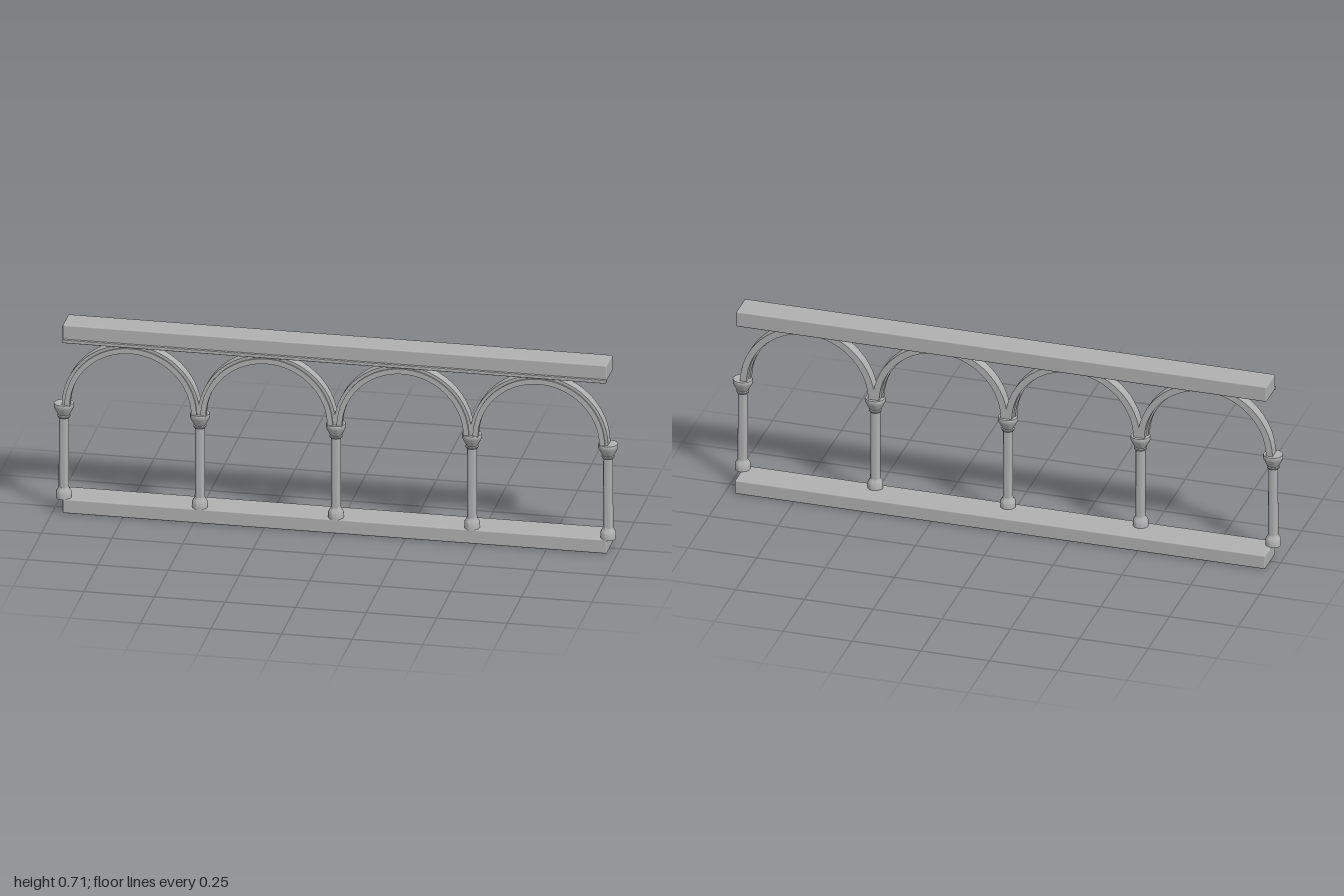
import * as THREE from 'three';
import { toCreasedNormals } from 'three/addons/utils/BufferGeometryUtils.js';
import { RoundedBoxGeometry } from 'three/addons/geometries/RoundedBoxGeometry.js';

const SPACING = 0.482;   // distance between columns
const COLUMN_Z = 0.031;  // columns and arches stand forward of the rails' middle
const SPRING_Y = 0.402;  // height where the arches start

export function createModel() {
  const group = new THREE.Group();
  const stone = new THREE.MeshStandardMaterial({ color: 0xb0b0b0 });
  stone.name = 'grey stone';

  const add = (name, geometry, x = 0, y = 0, z = 0) => {
    const mesh = new THREE.Mesh(geometry, stone);
    mesh.name = name;
    mesh.position.set(x, y, z);
    group.add(mesh);
  };

  // Rounded bar running the full length, given by its y and z limits
  const bar = (name, y0, y1, z0, z1, radius) =>
    add(name, new RoundedBoxGeometry(SPACING * 4, y1 - y0, z1 - z0, 2, radius),
      0, (y0 + y1) / 2, (z0 + z1) / 2);

  bar('bottomRail', 0, 0.053, -0.065, 0.056, 0.005);
  bar('topRail', 0.647, 0.706, -0.048, 0.056, 0.005);
  bar('railMoulding', 0.642, 0.654, 0.054, 0.067, 0.003);

  // Turned profiles as [radius, height] pairs
  const turned = (points) => toCreasedNormals(
    new THREE.LatheGeometry(points.map(([r, y]) => new THREE.Vector2(r, y)), 32), 0.6);
  const base = turned([[0, 0.05], [0.027, 0.05], [0.027, 0.074], [0.025, 0.079],
    [0.02, 0.085], [0.018, 0.092], [0, 0.092]]);
  const shaft = turned([[0.018, 0.085], [0.0175, 0.22], [0.017, 0.36]]);
  const capital = turned([[0, 0.352], [0.02, 0.352], [0.0225, 0.355], [0.0225, 0.359],
    [0.02, 0.362], [0.022, 0.366], [0.028, 0.376], [0.0325, 0.386], [0.0345, 0.389],
    [0.035, 0.402], [0.034, 0.405], [0, 0.405]]);

  for (let i = -2; i <= 2; i++) {
    add('columnBase', base, i * SPACING, 0, COLUMN_Z);
    add('columnShaft', shaft, i * SPACING, 0, COLUMN_Z);
    add('columnCapital', capital, i * SPACING, 0, COLUMN_Z);
  }

  // Half-ring with the given radii and depth limits
  const halfRing = (inner, outer, z0, z1) => {
    const shape = new THREE.Shape();
    shape.absarc(0, 0, outer, 0, Math.PI, false);
    shape.absarc(0, 0, inner, Math.PI, 0, true);
    shape.closePath();
    const geometry = new THREE.ExtrudeGeometry(shape,
      { depth: z1 - z0, bevelEnabled: false, curveSegments: 40 });
    geometry.translate(0, 0, z0);
    return toCreasedNormals(geometry, 0.6);
  };
  const arch = halfRing(0.221, 0.2445, 0.01, 0.051);
  const archRim = halfRing(0.215, 0.234, 0.036, 0.057);

  for (let i = 0; i < 4; i++) {
    const x = (i - 1.5) * SPACING;
    add('arch', arch, x, SPRING_Y);
    add('archRim', archRim, x, SPRING_Y);
  }
  return group;
}
